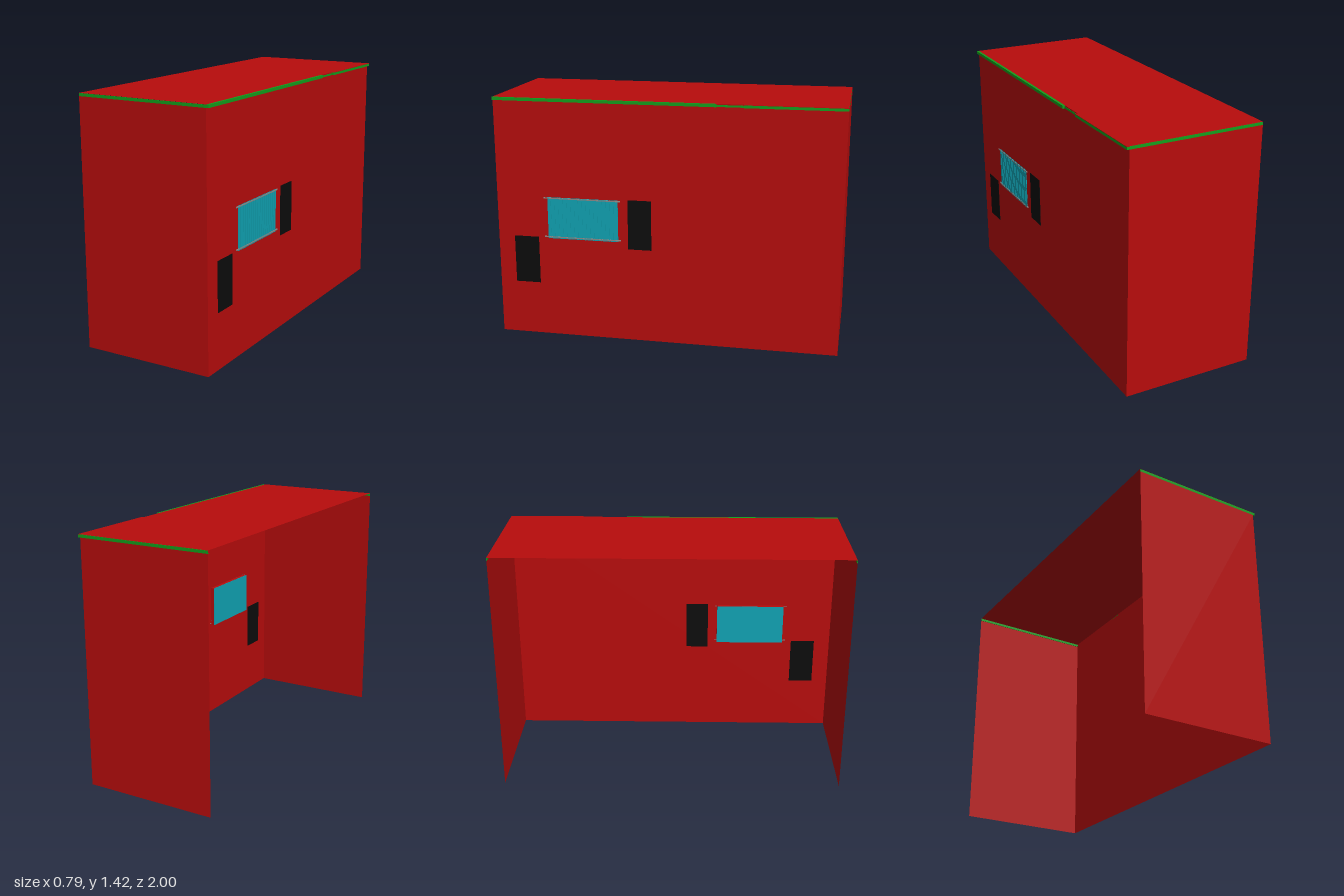
import * as THREE from 'three';

const mat = (color) => new THREE.MeshStandardMaterial({ color, side: THREE.DoubleSide });

export function createModel() {
  const model = new THREE.Group();
  const red = mat(0xb80c0c), green = mat(0x12a01c), teal = mat(0x10a4b4);
  const black = mat(0x0c0c0c), metal = mat(0x8f8a88);

  const W = 0.378, L = -0.4, EAVE = 1.405, TOP = 1.422;

  // Box given by its lower and upper bounds on each axis
  function box(name, material, [x0, x1], [y0, y1], [z0, z1], parent = model) {
    const mesh = new THREE.Mesh(new THREE.BoxGeometry(x1 - x0, y1 - y0, z1 - z0), material);
    mesh.position.set((x0 + x1) / 2, (y0 + y1) / 2, (z0 + z1) / 2);
    mesh.name = name;
    parent.add(mesh);
    return mesh;
  }

  // Thin flat sheet, visible from both sides
  function sheet(name, w, h, position, rotation) {
    const mesh = new THREE.Mesh(new THREE.PlaneGeometry(w, h), red);
    mesh.position.set(...position);
    mesh.rotation.set(...rotation);
    mesh.name = name;
    model.add(mesh);
  }

  // Three walls and the roof; the -x side and the floor stay open
  const depth = W - L, midX = (W + L) / 2;
  sheet('frontWall', depth, EAVE, [midX, EAVE / 2, 1], [0, 0, 0]);
  sheet('backWall', depth, EAVE, [midX, EAVE / 2, -1], [0, Math.PI, 0]);
  sheet('sideWall', 2, TOP, [W, TOP / 2, 0], [0, Math.PI / 2, 0]);
  sheet('roof', depth, 2, [midX, TOP, 0], [-Math.PI / 2, 0, 0]);

  // Green trim under the roof edge
  box('frontTrim', green, [L, W], [EAVE, TOP - 0.001], [0.997, 1]);
  box('backTrim', green, [L, W], [EAVE, TOP - 0.001], [-1, -0.997]);
  box('sideTrimFront', green, [W, 0.392], [EAVE, TOP], [-0.29, 1]);
  box('sideTrimGap', green, [W, W + 0.002], [EAVE, TOP - 0.006], [-0.44, -0.29]);
  box('sideTrimBack', green, [W, 0.392], [EAVE, TOP - 0.002], [-1, -0.44]);
  box('roofOverhang', red, [W, 0.392], [TOP - 0.002, TOP], [-1, -0.44]);

  // Dark panels that show on both faces of the side wall
  box('lowerPanel', black, [W - 0.004, W + 0.002], [0.32, 0.603], [0.755, 0.903]);
  box('upperPanel', black, [W - 0.004, W + 0.002], [0.56, 0.853], [0.08, 0.217]);

  // Shutter: red casing and inner pane, outer slats between two rails
  const shutter = new THREE.Group();
  shutter.name = 'shutter';
  model.add(shutter);
  const z0 = 0.275, z1 = 0.695, y0 = 0.6, y1 = 0.847;
  box('shutterCasing', red, [0.355, W - 0.001], [y0, y1], [z0, z1], shutter);
  box('shutterPane', teal, [0.353, 0.355], [y0, y1], [z0, z1], shutter);
  box('shutterBacking', teal, [W, W + 0.001], [y0, y1], [z0, z1], shutter);

  const count = 18, pitch = (z1 - z0) / count;
  for (let i = 0; i < count; i++) {
    const z = z0 + i * pitch;
    box('slat', teal, [W + 0.001, W + 0.004], [y0, y1], [z + pitch * 0.12, z + pitch * 0.88], shutter);
  }
  for (const y of [0.609, 0.842]) {
    box('rail', metal, [W, W + 0.006], [y - 0.003, y + 0.003], [0.26, 0.717], shutter);
  }

  return model;
}
